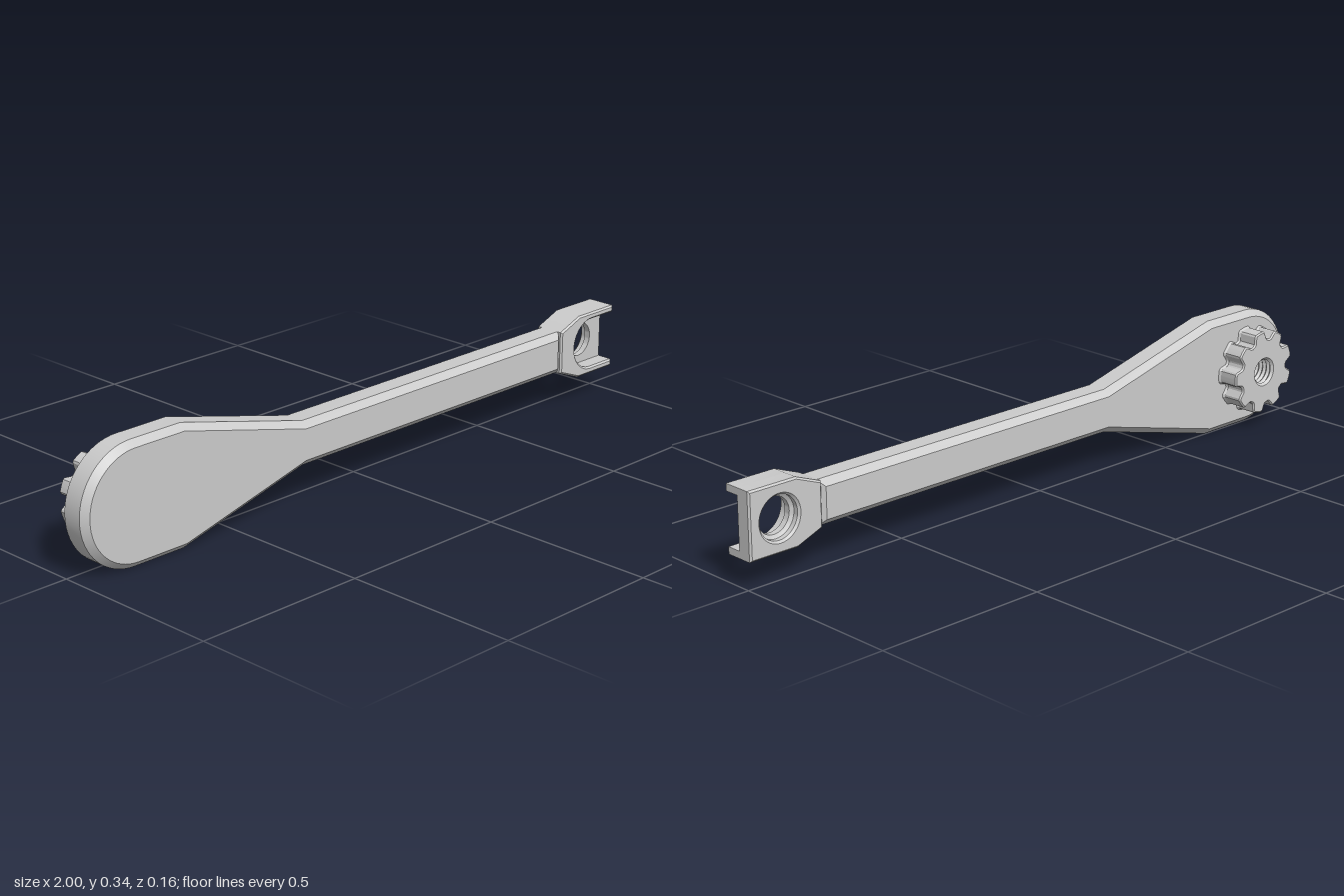
import * as THREE from 'three';
import { mergeGeometries, toCreasedNormals } from 'three/addons/utils/BufferGeometryUtils.js';

const MID = 0.169;      // height of the long axis
const HEAD_X = -0.831;  // centre of the round head
const EYE_X = 0.905;    // centre of the eyelet
const BACK = -0.014, FRONT = 0.078;

const V = (x, y) => new THREE.Vector2(x, y);

// Points on an arc from angle a to angle b
function arc(cx, cy, r, a, b, n) {
  return Array.from({ length: n + 1 }, (_, i) => {
    const t = a + (b - a) * i / n;
    return V(cx + r * Math.cos(t), cy + r * Math.sin(t));
  });
}

// Moves a counter-clockwise outline inwards by d, with mitred corners
function inset(pts, d) {
  const n = pts.length;
  return pts.map((p, i) => {
    const e = p.clone().sub(pts[(i + n - 1) % n]).normalize();
    const f = pts[(i + 1) % n].clone().sub(p).normalize();
    const a = V(-e.y, e.x), b = V(-f.y, f.x);
    return p.clone().add(a.clone().add(b).multiplyScalar(d / (1 + a.dot(b))));
  });
}

// Side walls through sections [z, inset], listed from back to front
function walls(outline, sections) {
  const rings = sections.map(([z, d]) =>
    (d ? inset(outline, d) : outline).map(p => [p.x, p.y, z]));
  const pos = [], n = outline.length;
  for (let k = 0; k + 1 < rings.length; k++) {
    for (let i = 0; i < n; i++) {
      const j = (i + 1) % n;
      const [a, b, c, d] = [rings[k][i], rings[k][j], rings[k + 1][j], rings[k + 1][i]];
      pos.push(...a, ...b, ...c, ...a, ...c, ...d);
    }
  }
  const g = new THREE.BufferGeometry();
  g.setAttribute('position', new THREE.Float32BufferAttribute(pos, 3));
  return g;
}

// Flat face at depth z, optionally with a round hole [x, y, r]
function cap(outline, z, towardBack, hole) {
  const shape = new THREE.Shape(outline);
  if (hole) shape.holes.push(new THREE.Path().absarc(hole[0], hole[1], hole[2], 0, Math.PI * 2, true));
  const g = new THREE.ShapeGeometry(shape, 24);
  if (towardBack) {
    const ix = g.index.array;
    for (let i = 0; i < ix.length; i += 3) [ix[i], ix[i + 1]] = [ix[i + 1], ix[i]];
  }
  g.translate(0, 0, z);
  const flat = g.toNonIndexed();
  flat.deleteAttribute('uv');
  flat.deleteAttribute('normal');
  return flat;
}

function createMesh(name, parts, mat) {
  const g = mergeGeometries(parts);
  g.computeVertexNormals();
  const mesh = new THREE.Mesh(toCreasedNormals(g, 0.45), mat);
  mesh.name = name;
  return mesh;
}

// Bore lining turned about the z axis from [radius, z] pairs
function bore(name, x, profile, mat) {
  const g = new THREE.LatheGeometry(profile.map(([r, z]) => V(r, z)), 48);
  g.rotateX(Math.PI / 2);
  const mesh = new THREE.Mesh(toCreasedNormals(g, 0.45), mat);
  mesh.position.set(x, MID, 0);
  mesh.name = name;
  return mesh;
}

export function createModel() {
  const group = new THREE.Group();
  group.name = 'leverArm';
  const mat = new THREE.MeshStandardMaterial({ color: 0xcccccc });
  const boreMat = new THREE.MeshStandardMaterial({ color: 0xcccccc, side: THREE.DoubleSide });

  // Paddle-shaped head tapering into the bar, chamfered front and back
  const arm = [
    V(0.775, MID - 0.062), V(0.775, MID + 0.062), V(-0.25, MID + 0.062), V(-0.67, MID + 0.169),
    ...arc(HEAD_X, MID, 0.169, Math.PI / 2, Math.PI * 1.5, 32),
    V(-0.67, 0), V(-0.25, MID - 0.062),
  ];
  const screw = [HEAD_X, MID, 0.042];
  group.add(createMesh('arm', [
    walls(arm, [[BACK, 0.018], [BACK + 0.018, 0], [FRONT - 0.018, 0], [FRONT, 0.018]]),
    cap(inset(arm, 0.018), FRONT, false),
    cap(inset(arm, 0.018), BACK, true, screw),
  ], mat));

  // Eyelet block: floor with a round hole
  const block = [
    V(0.77, MID + 0.062), V(0.77, MID - 0.062), V(0.85, MID - 0.093),
    V(1, MID - 0.093), V(1, MID + 0.093), V(0.85, MID + 0.093),
  ];
  group.add(createMesh('eyeletFloor', [
    walls(block, [[BACK, 0.005], [BACK + 0.005, 0], [0.03, 0]]),
    cap(inset(block, 0.005), BACK, true, [EYE_X, MID, 0.066]),
    cap(block, 0.03, false, [EYE_X, MID, 0.05]),
  ], mat));
  group.add(bore('eyeletBore', EYE_X,
    [[0.066, BACK], [0.06, BACK + 0.006], [0.06, 0.006], [0.05, 0.012], [0.05, 0.03]], boreMat));

  // Eyelet rim: U-shaped wall around a pocket open at the end
  const rim = [
    ...block.slice(0, 3), V(1, MID - 0.093), V(1, MID - 0.073),
    ...arc(EYE_X, MID, 0.073, Math.PI * 1.5, Math.PI / 2, 28),
    V(1, MID + 0.073), V(1, MID + 0.093), block[5],
  ];
  group.add(createMesh('eyeletRim', [
    walls(rim, [[0.03, 0], [FRONT - 0.005, 0], [FRONT, 0.005]]),
    cap(inset(rim, 0.005), FRONT, false),
  ], mat));

  // Lobed spline hub on the back of the head
  const LOBES = 9, STEPS = 16;
  const hub = Array.from({ length: LOBES * STEPS }, (_, i) => {
    const t = i / (LOBES * STEPS) * Math.PI * 2;
    const dip = THREE.MathUtils.smoothstep(-Math.cos(LOBES * t), -0.3, 0.95);
    const r = 0.122 - 0.025 * dip;
    return V(HEAD_X + r * Math.cos(t), MID + r * Math.sin(t));
  });
  group.add(createMesh('splineHub', [
    walls(hub, [[-0.077, 0.004], [-0.073, 0], [-0.02, 0], [BACK, -0.004]]),
    cap(inset(hub, 0.004), -0.077, true, screw),
  ], mat));

  // Threaded blind hole through the hub into the head
  const thread = [[0.042, -0.077]];
  for (let z = -0.07; z < 0.04; z += 0.014) thread.push([0.035, z], [0.041, z + 0.007]);
  thread.push([0.035, 0.045], [0, 0.05]);
  group.add(bore('threadedHole', HEAD_X, thread, boreMat));

  return group;
}
